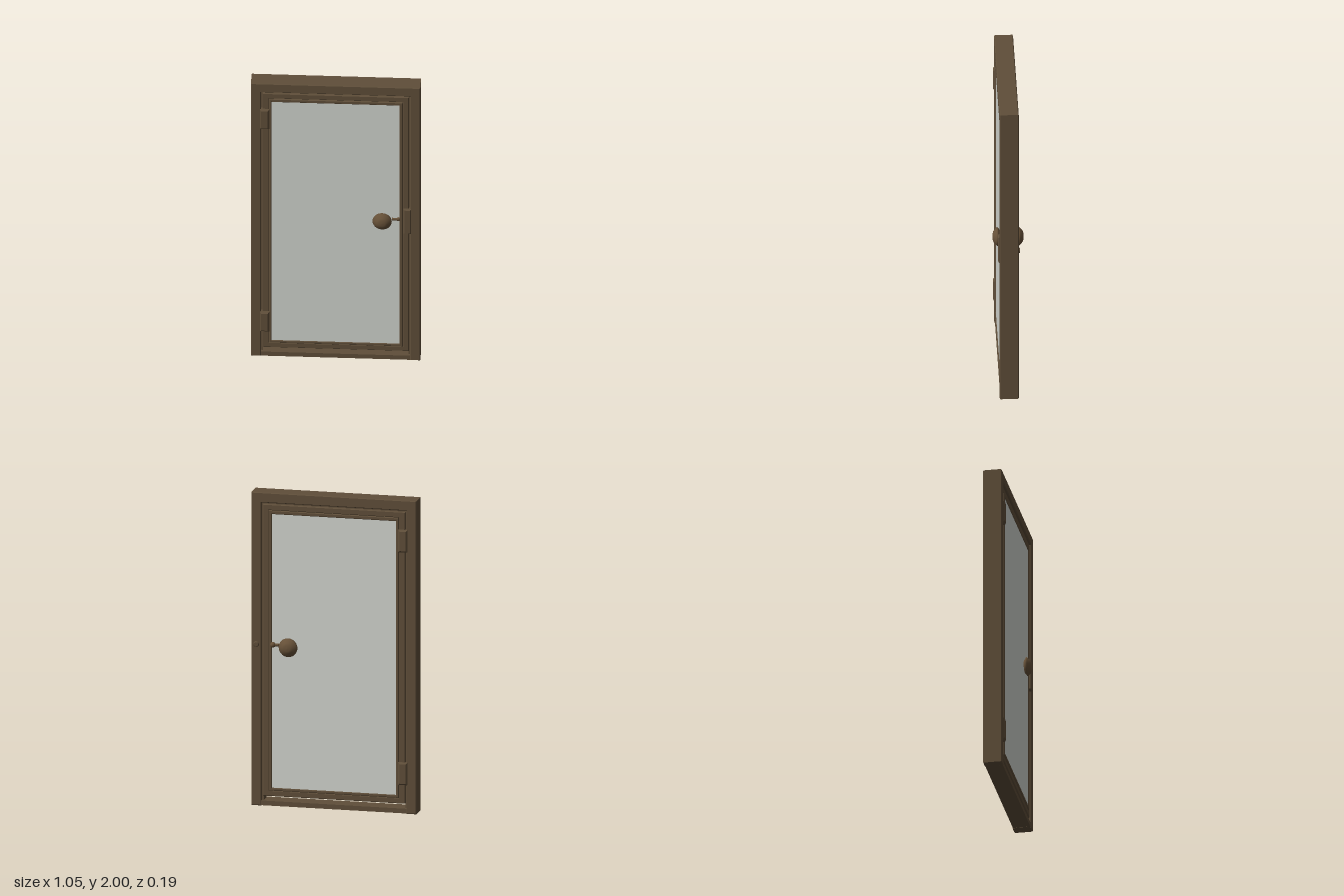
import * as THREE from 'three';

export function createModel() {
  const group = new THREE.Group();
  group.name = 'glazedDoor';

  const wood = new THREE.MeshStandardMaterial({ color: 0x5f4e39 });
  wood.name = 'brown wood';
  const glassMat = new THREE.MeshStandardMaterial({ color: 0xd1d4ce });
  glassMat.name = 'pale glass';
  const knobMat = new THREE.MeshStandardMaterial({ color: 0x685239 });
  knobMat.name = 'knob brown';

  function add(name, geometry, material, x = 0, y = 0, z = 0) {
    const mesh = new THREE.Mesh(geometry, material);
    mesh.name = name;
    mesh.position.set(x, y, z);
    group.add(mesh);
    return mesh;
  }

  // Extrudes an outline, with a small bevel, evenly about z = 0
  function slab(shape, half, bevel) {
    const geometry = new THREE.ExtrudeGeometry(shape, {
      depth: 2 * (half - bevel), bevelEnabled: bevel > 0, bevelThickness: bevel,
      bevelSize: bevel, bevelOffset: -bevel, bevelSegments: 1,
    });
    return geometry.translate(0, 0, bevel - half);
  }

  const outline = points => points.map(([x, y]) => new THREE.Vector2(x, y));
  const rect = (x0, y0, x1, y1) => outline([[x0, y0], [x1, y0], [x1, y1], [x0, y1]]);

  function ring(outer, inner, half, bevel) {
    const shape = new THREE.Shape(rect(...outer));
    shape.holes.push(new THREE.Path(rect(...inner)));
    return slab(shape, half, bevel);
  }

  // Three-sided portal, open at the bottom
  function portal(outerX, top, innerX, innerTop, half, bevel) {
    return slab(new THREE.Shape(outline([
      [-outerX, 0], [-innerX, 0], [-innerX, innerTop], [innerX, innerTop],
      [innerX, 0], [outerX, 0], [outerX, top], [-outerX, top],
    ])), half, bevel);
  }

  // Fixed frame, inner stop and threshold
  add('doorFrame', portal(0.526, 2, 0.464, 1.935, 0.059, 0.005), wood);
  add('frameStop', portal(0.464, 1.935, 0.452, 1.922, 0.035, 0), wood);
  add('threshold', new THREE.BoxGeometry(0.928, 0.03, 0.11), wood, 0, 0.017, 0);

  // Door leaf with stepped moulding around the deep pane
  add('leafFrame', ring([-0.455, 0.062, 0.455, 1.924], [-0.412, 0.098, 0.418, 1.887], 0.051, 0.004), wood);
  add('glazingBead', ring([-0.412, 0.098, 0.418, 1.887], [-0.397, 0.117, 0.396, 1.864], 0.056, 0.004), wood);
  add('glassPane', new THREE.BoxGeometry(0.793, 1.747, 0.104), glassMat, -0.0005, 0.9905, 0);

  // Hinges show on both faces
  for (const y of [0.255, 1.74]) {
    const plate = new THREE.Shape(rect(-0.03, -0.072, 0.03, 0.072));
    add('hinge', slab(plate, 0.068, 0.01), wood, -0.441, y, 0);
  }

  // Latch plate on the front
  const latchShape = new THREE.Shape(rect(-0.024, -0.089, 0.024, 0.089));
  add('latchPlate', slab(latchShape, 0.02, 0.006), wood, 0.446, 1.02, 0.047);

  // Faceted knob profile, turned about an axis facing out of the door
  const profile = outline([
    [0.04, 0.05], [0.052, 0.06], [0.06, 0.066], [0.054, 0.074],
    [0.034, 0.091], [0.018, 0.096], [0, 0.097],
  ]);
  for (const side of [1, -1]) {
    const knob = add(side > 0 ? 'frontKnob' : 'backKnob', new THREE.LatheGeometry(profile, 28), knobMat, 0.29, 1.02, 0);
    knob.rotation.x = side * Math.PI / 2;

    // Slim bolt lying half sunk in the pane
    const bolt = add('latchBolt', new THREE.CylinderGeometry(0.01, 0.01, 0.04, 10), knobMat, 0.372, 1.03, side * 0.049);
    bolt.rotation.z = Math.PI / 2;
    add('boltCollar', new THREE.SphereGeometry(0.018, 12, 8), knobMat, 0.39, 1.03, side * (side > 0 ? 0.042 : 0.053));
  }

  // Small keeper stud on the back of the jamb
  const stud = add('keeperStud', new THREE.CylinderGeometry(0.014, 0.02, 0.012, 12), wood, 0.495, 1.03, -0.062);
  stud.rotation.x = -Math.PI / 2;

  return group;
}
